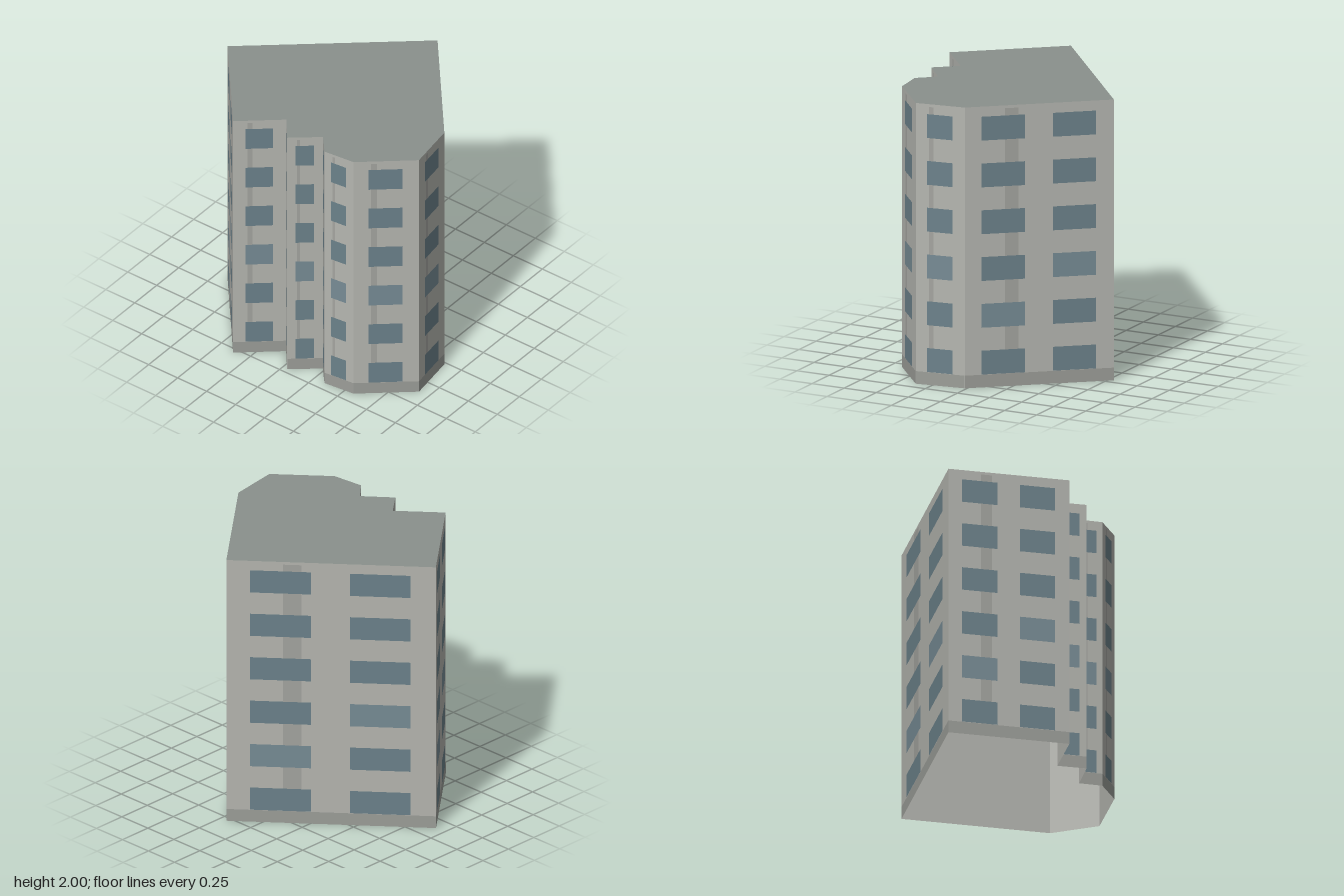
import * as THREE from 'three';

const HEIGHT = 2, FLOORS = 6, PITCH = HEIGHT / FLOORS;

// Footprint corners [x, z], running left to right as seen from outside
const FOOTPRINT = [
  [-0.37, 0.915], [-0.015, 0.865], [0.79, 0.195], [-0.135, -0.915], [-0.79, -0.37],
  [-0.555, -0.09], [-0.715, 0.04], [-0.56, 0.23], [-0.685, 0.34], [-0.66, 0.57],
];

const mat = (color, side = THREE.FrontSide) => new THREE.MeshStandardMaterial({ color, side });

export function createModel() {
  const model = new THREE.Group();
  model.name = 'apartmentBlock';

  const mats = {
    wall: mat(0xb5b6b0, THREE.DoubleSide),
    roof: mat(0x8a918d, THREE.DoubleSide),
    plinth: mat(0x9c9e99),
    streak: mat(0xa4a5a0),
    window: mat(0x6c828b),
    windowLight: mat(0x778c95),
  };

  // Flat panel in a facade's own frame: x along the wall, z outward
  function panel(parent, name, material, x0, x1, y0, y1, lift) {
    const mesh = new THREE.Mesh(new THREE.PlaneGeometry(x1 - x0, y1 - y0), material);
    mesh.position.set((x0 + x1) / 2, (y0 + y1) / 2, lift);
    mesh.name = name;
    parent.add(mesh);
  }

  FOOTPRINT.forEach(([ax, az], i) => {
    const [bx, bz] = FOOTPRINT[(i + 1) % FOOTPRINT.length];
    const dx = bx - ax, dz = bz - az, w = Math.hypot(dx, dz);
    const facade = new THREE.Group();
    facade.name = 'facade';
    facade.position.set(ax, 0, az);
    facade.rotation.y = Math.atan2(-dz, dx);
    model.add(facade);

    panel(facade, 'wall', mats.wall, 0, w, 0, HEIGHT, 0);
    panel(facade, 'plinth', mats.plinth, 0, w, 0, 0.09, 0.001);
    panel(facade, 'weatherStreak', mats.streak, w * 0.27, w * 0.36, 0.09, 1.98, 0.001);

    // Wide facades carry two windows per floor, narrow ones a single window
    const spans = w > 0.6 ? [[0.113, 0.405], [0.59, 0.88]] : [[0.23, 0.75]];
    for (let f = 0; f < FLOORS; f++) {
      spans.forEach(([u0, u1], c) => {
        const lightFloor = spans.length === 2 && c === 0 ? 1 : 2;
        const y = f * PITCH + 0.092;
        panel(facade, 'window', f === lightFloor ? mats.windowLight : mats.window,
          w * u0, w * u1, y, y + 0.17, 0.002);
      });
    }
  });

  // Flat roof; the underside of the block stays open
  const shape = new THREE.Shape(FOOTPRINT.map(([x, z]) => new THREE.Vector2(x, -z)));
  const roof = new THREE.Mesh(new THREE.ShapeGeometry(shape).rotateX(-Math.PI / 2), mats.roof);
  roof.position.y = HEIGHT;
  roof.name = 'roof';
  model.add(roof);

  return model;
}
